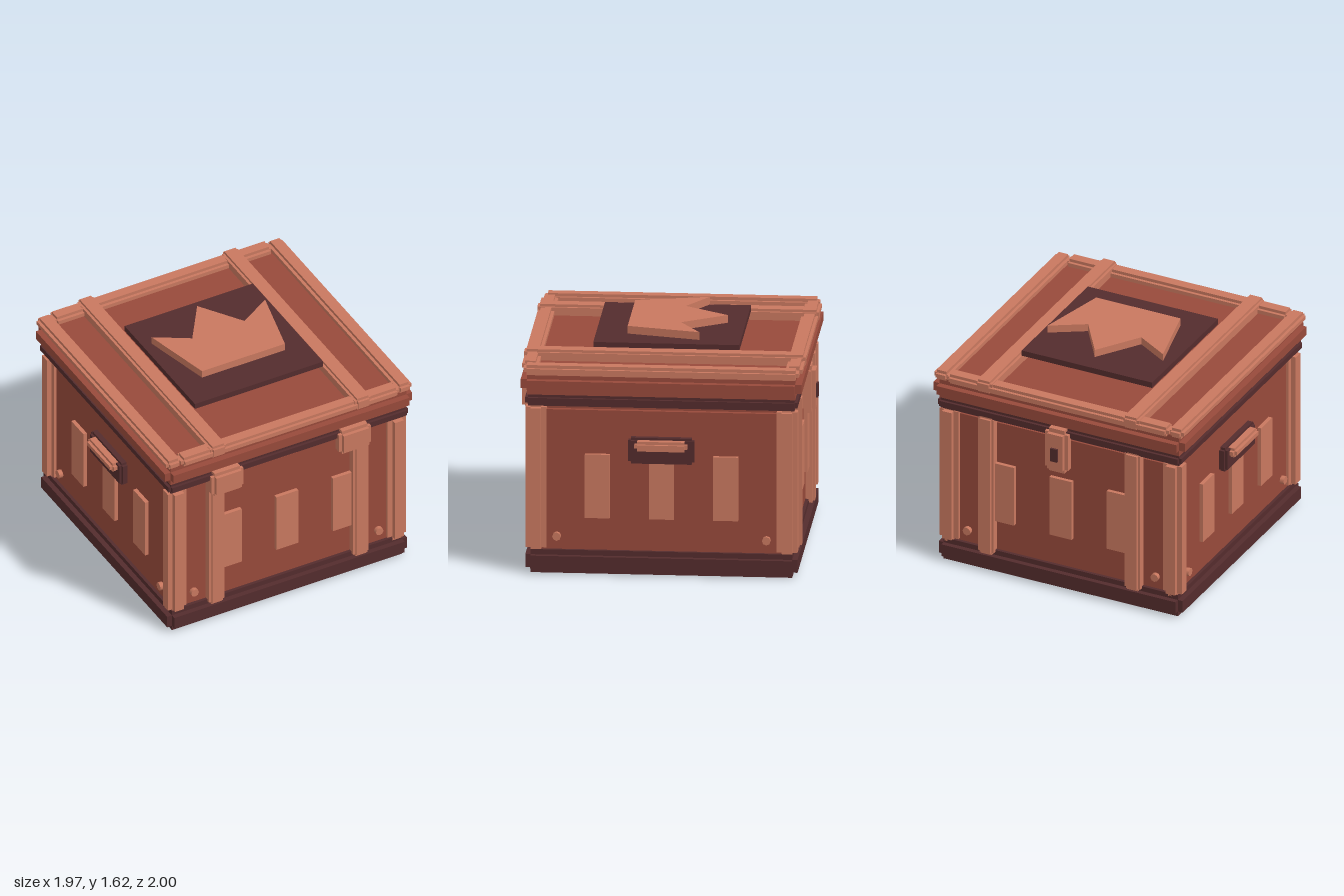
import * as THREE from 'three';

const mat = (name, color) => {
  const m = new THREE.MeshStandardMaterial({ color });
  m.name = name;
  return m;
};

export function createModel() {
  const trim = mat('copper trim', 0xc9785f);
  const red = mat('red panel', 0x984a3b);
  const dark = mat('dark maroon', 0x542c2d);

  const chest = new THREE.Group();
  chest.name = 'chest';
  const body = new THREE.Group();
  body.name = 'chestBody';
  body.position.z = 0.012;
  chest.add(body);

  const box = (parent, name, material, x, y, z) => {
    const m = new THREE.Mesh(
      new THREE.BoxGeometry(x[1] - x[0], y[1] - y[0], z[1] - z[0]), material);
    m.position.set((x[0] + x[1]) / 2, (y[0] + y[1]) / 2, (z[0] + z[1]) / 2);
    m.name = name;
    parent.add(m);
    return m;
  };

  // Block with stepped edges: three crossed boxes, each inset on two axes
  const stepped = (parent, name, material, x, y, z, b) => {
    const g = new THREE.Group();
    g.name = name;
    const inset = (r) => [r[0] + b, r[1] - b];
    box(g, name + 'Wide', material, x, inset(y), inset(z));
    box(g, name + 'Tall', material, inset(x), y, inset(z));
    box(g, name + 'Deep', material, inset(x), inset(y), z);
    parent.add(g);
    return g;
  };
  const sym = (h) => [-h, h];
  const around = (c, h) => [c - h, c + h];

  // Main box, base, rim and lid
  stepped(body, 'box', red, sym(0.88), [0, 1.2], sym(0.88), 0.035);
  stepped(body, 'base', dark, sym(0.94), [0.003, 0.168], sym(0.94), 0.037);
  stepped(body, 'rim', dark, sym(0.94), [1.2, 1.28], sym(0.94), 0.02);
  stepped(body, 'lid', red, sym(0.97), [1.28, 1.435], sym(0.97), 0.045);

  // Corner posts
  for (const sx of [-1, 1]) for (const sz of [-1, 1])
    stepped(body, 'cornerPost', trim, around(sx * 0.862, 0.072), [0.145, 1.22],
      around(sz * 0.867, 0.072), 0.036);

  // Four walls: plates and rivets, with straps on front and back
  for (let i = 0; i < 4; i++) {
    const wall = new THREE.Group();
    wall.name = ['frontWall', 'leftWall', 'backWall', 'rightWall'][i];
    wall.rotation.y = i * Math.PI / 2;
    body.add(wall);
    for (const x of [-0.443, 0, 0.443])
      box(wall, 'plate', trim, around(x, 0.086), [0.4, 0.855], [0.86, 0.908]);
    for (const s of [-1, 1]) {
      const rivet = new THREE.Mesh(new THREE.CylinderGeometry(0.03, 0.03, 0.05, 8), trim);
      rivet.rotation.x = Math.PI / 2;
      rivet.position.set(s * 0.724, 0.262, 0.885);
      rivet.name = 'rivet';
      wall.add(rivet);
      if (i % 2 === 0)
        stepped(wall, 'wallStrap', trim, around(s * 0.565, 0.06), [0.135, 1.22],
          [0.85, 0.945], 0.018);
    }
    // Carrying handles on the left and right
    if (i % 2 === 1) {
      stepped(wall, 'handlePlate', dark, sym(0.228), [0.8, 0.985], [0.84, 0.936], 0.018);
      stepped(wall, 'handleGrip', trim, sym(0.183), [0.9, 0.97], [0.9, 0.985], 0.02);
    }
  }

  // Lid frame and cross straps
  for (const s of [-1, 1]) {
    stepped(body, 'sideRail', trim, around(s * 0.905, 0.058), [1.423, 1.495], sym(0.95), 0.022);
    stepped(body, 'endRail', trim, sym(0.855), [1.423, 1.495], around(s * 0.91, 0.058), 0.022);
    stepped(body, 'lidStrap', trim, around(s * 0.567, 0.062), [1.423, 1.515], sym(0.972), 0.018);
  }

  // Hinges on the front
  for (const s of [-1, 1])
    stepped(chest, 'hinge', trim, around(s * 0.5, 0.125), [1.09, 1.283], [0.9, 1.0], 0.025);

  // Latch and keyhole on the back
  stepped(chest, 'latch', trim, sym(0.09), [0.945, 1.28], [-0.985, -0.88], 0.03);
  box(chest, 'keyhole', dark, sym(0.026), [1.045, 1.145], [-1.0, -0.97]);

  // Raised lid panel with a crown emblem
  box(body, 'lidPanel', dark, sym(0.503), [1.503, 1.545], [-0.505, 0.503]);
  const outline = [[-0.325, -0.28], [0.325, -0.28], [0.445, 0.225], [0.205, 0.08],
    [0, 0.385], [-0.205, 0.08], [-0.445, 0.225]].map((p) => new THREE.Vector2(...p));
  const crown = new THREE.Mesh(new THREE.ExtrudeGeometry(new THREE.Shape(outline),
    { depth: 0.055, bevelEnabled: false }), trim);
  crown.rotation.x = -Math.PI / 2;
  crown.position.y = 1.56;
  crown.name = 'crownEmblem';
  body.add(crown);

  return chest;
}
